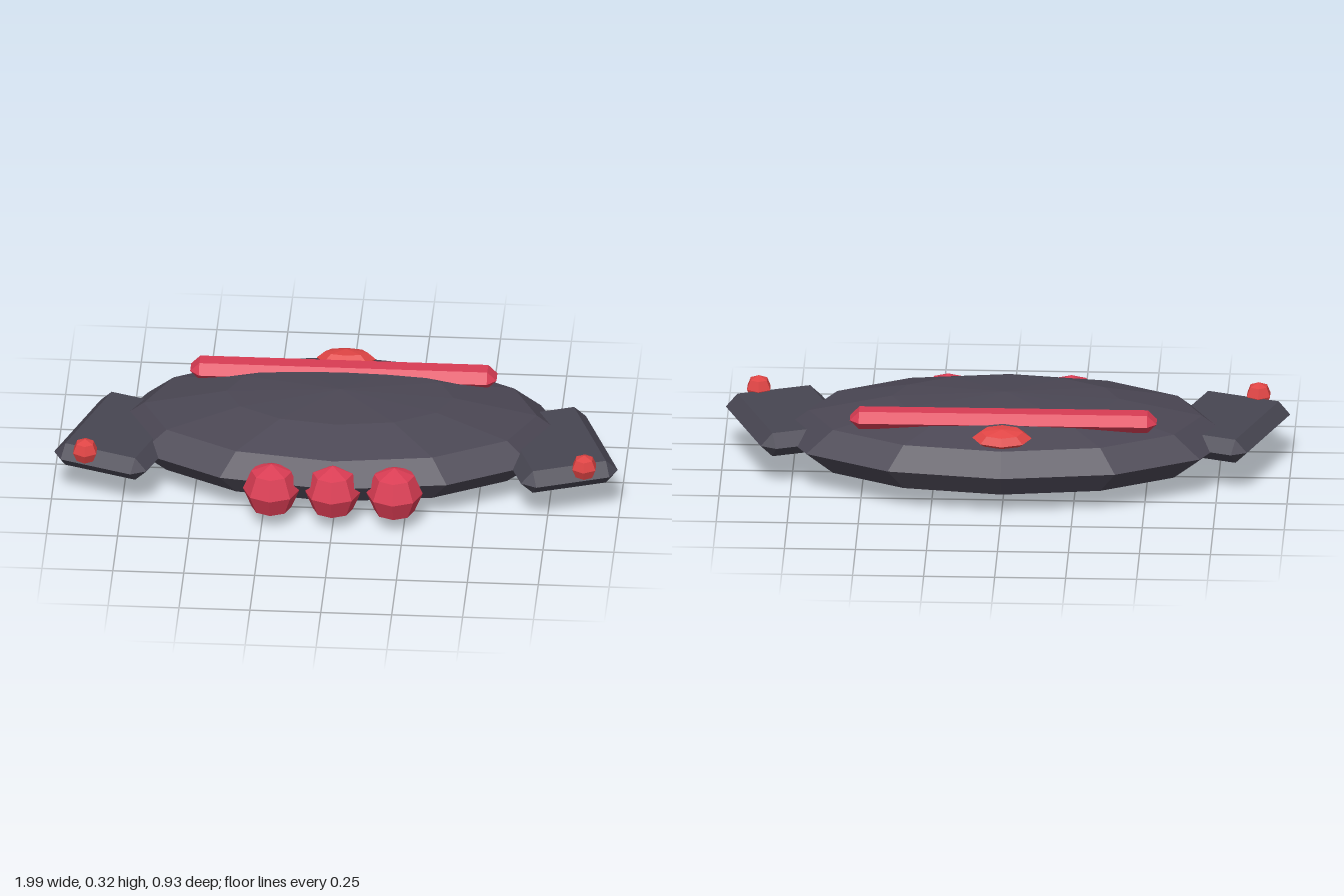
import * as THREE from 'three';
import { ConvexGeometry } from 'three/addons/geometries/ConvexGeometry.js';

const material = (name, color) => {
  const m = new THREE.MeshStandardMaterial({ color, flatShading: true });
  m.name = name;
  return m;
};

// Slab with a ridge around its middle and cut corners
function ridgedSlab(width, height, depth) {
  const r = height / 2, x = width / 2 - r, z = depth / 2 - r;
  const points = [];
  for (const sx of [-1, 1]) {
    for (const sz of [-1, 1]) {
      points.push(
        new THREE.Vector3(sx * x, r, sz * z),
        new THREE.Vector3(sx * x, -r, sz * z),
        new THREE.Vector3(sx * (x + r), 0, sz * z),
        new THREE.Vector3(sx * x, 0, sz * (z + r))
      );
    }
  }
  return new ConvexGeometry(points);
}

export function createModel() {
  const model = new THREE.Group();
  const hull = material('dark hull', 0x4a4653);
  const wingGrey = material('wing grey', 0x474551);
  const crimson = material('crimson', 0xd93c53);
  const scarlet = material('scarlet', 0xdf4444);

  const add = (name, geometry, mat, x, y, z) => {
    const mesh = new THREE.Mesh(geometry, mat);
    mesh.name = name;
    mesh.position.set(x, y, z);
    model.add(mesh);
    return mesh;
  };

  // Flattened faceted body
  const body = new THREE.SphereGeometry(1, 12, 6).scale(0.8, 0.162, 0.435);
  add('body', body, hull, 0, 0.162, -0.03);

  // Swept wings with a lamp on each front corner
  for (const side of [-1, 1]) {
    const wing = add('wing', ridgedSlab(0.355, 0.087, 0.49), wingGrey, side * 0.758, 0.163, 0.07);
    wing.rotation.y = side * THREE.MathUtils.degToRad(20);
    const lamp = add('wingLamp', new THREE.SphereGeometry(0.047, 6, 4), scarlet, side * 0.88, 0.209, 0.268);
    lamp.rotation.y = side * THREE.MathUtils.degToRad(30);
  }

  // Row of nose globes
  for (const i of [-1, 0, 1]) {
    add('noseGlobe', new THREE.SphereGeometry(0.1, 8, 4), crimson, i * 0.217, 0.135, 0.365);
  }

  // Bar across the back and the small dome behind it
  add('backBar', ridgedSlab(1.08, 0.065, 0.12), crimson, 0, 0.289, -0.214);
  const dome = new THREE.SphereGeometry(1, 8, 4).scale(0.105, 0.035, 0.063);
  add('rearDome', dome, scarlet, 0, 0.271, -0.344).rotation.x = -0.2;

  return model;
}
